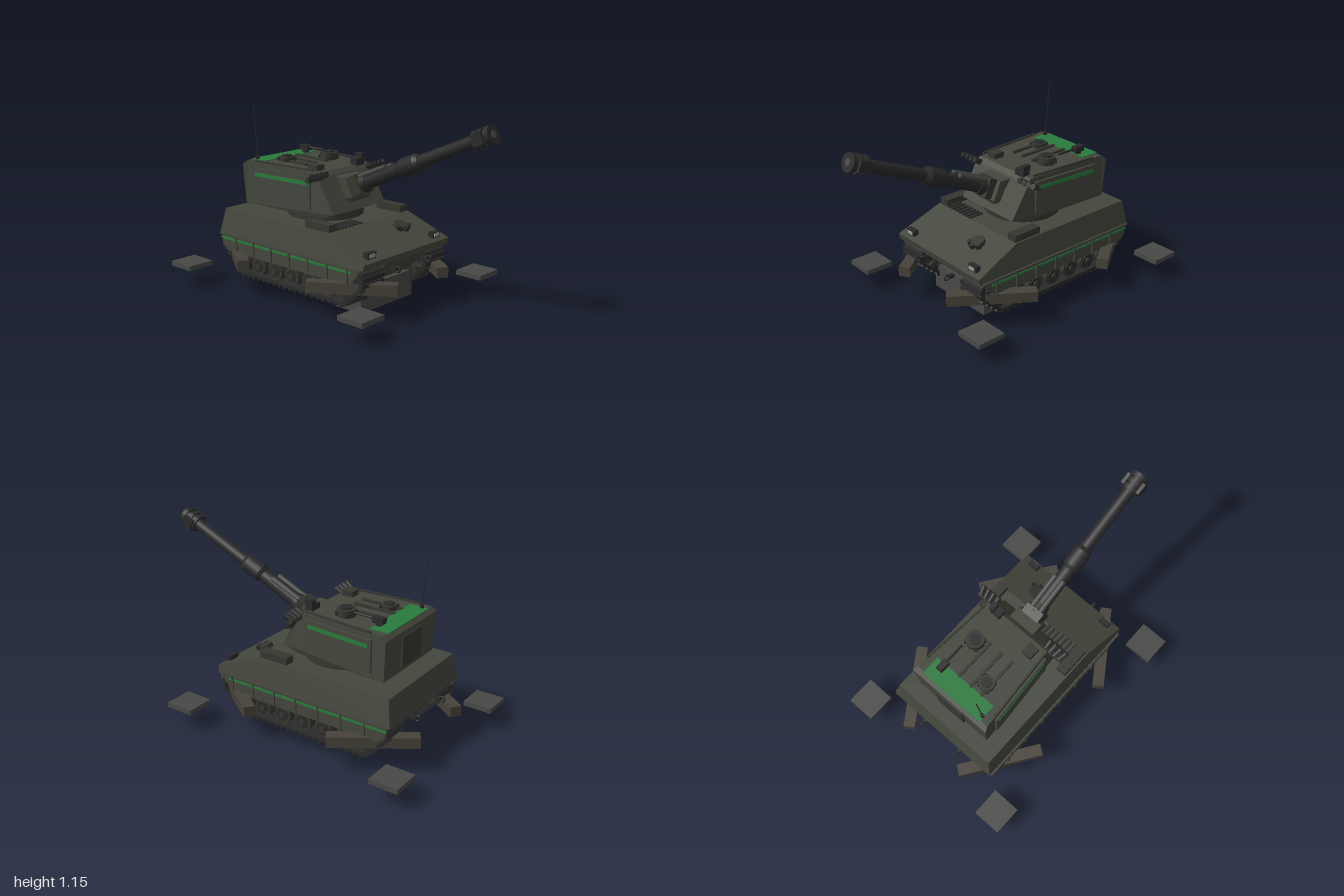
import * as THREE from 'three';

const mat = (color) => new THREE.MeshStandardMaterial({ color });
const M = {
  hull: mat(0x44473d), dark: mat(0x2a2a2b), grey: mat(0x484846), brown: mat(0x47423a),
  green: mat(0x2a7a3c), lamp: mat(0x9a9a92), steel: mat(0x36372f),
};

export function createModel() {
  const root = new THREE.Group();
  const add = (name, geo, m, x = 0, y = 0, z = 0, parent = root) => {
    const mesh = new THREE.Mesh(geo, m);
    mesh.name = name;
    mesh.position.set(x, y, z);
    parent.add(mesh);
    return mesh;
  };
  const box = (name, m, w, h, d, x, y, z, parent) =>
    add(name, new THREE.BoxGeometry(w, h, d), m, x, y, z, parent);
  const cylX = (name, m, r1, r0, len, x, y, z, parent, seg = 16) =>
    add(name, new THREE.CylinderGeometry(r1, r0, len, seg).rotateZ(-Math.PI / 2), m, x, y, z, parent);
  const cylY = (name, m, r, h, x, y, z, parent, seg = 16) =>
    add(name, new THREE.CylinderGeometry(r, r, h, seg), m, x, y, z, parent);
  const cylZ = (name, m, r, len, x, y, z, parent, seg = 16) =>
    add(name, new THREE.CylinderGeometry(r, r, len, seg).rotateX(Math.PI / 2), m, x, y, z, parent);
  // Side profile extruded across z, with the half width given by a rule
  const slab = (name, m, pts, width, parent) => {
    const shape = new THREE.Shape(pts.map(([x, y]) => new THREE.Vector2(x, y)));
    const geo = new THREE.ExtrudeGeometry(shape, { depth: 1, bevelEnabled: false });
    const p = geo.attributes.position;
    for (let i = 0; i < p.count; i++) {
      p.setZ(i, (p.getZ(i) > 0.5 ? 1 : -1) * width(p.getX(i), p.getY(i)));
    }
    geo.computeVertexNormals();
    return add(name, geo, m, 0, 0, 0, parent);
  };
  const sides = [-1, 1];

  // Hull
  slab('upperHull', M.hull, [[-0.8, 0.32], [0.4, 0.32], [0.41, 0.36], [0.11, 0.48], [-0.77, 0.48]],
    (x, y) => 0.385 - (y - 0.32) * 0.18);
  slab('lowerHull', M.hull, [[-0.68, 0.17], [0.24, 0.17], [0.4, 0.32], [-0.79, 0.32]], () => 0.195);
  box('bellyBlade', M.grey, 0.2, 0.16, 0.46, 0.15, 0.08, 0);

  // Running gear and skirts
  const path = [[-0.63, 0.085], [0.24, 0.085], [0.38, 0.21], [0.38, 0.28], [0.32, 0.315], [-0.74, 0.315], [-0.78, 0.24]];
  const v2 = path.map(([x, y]) => new THREE.Vector2(x, y));
  for (const s of sides) {
    const side = new THREE.Group();
    side.name = s > 0 ? 'leftRunningGear' : 'rightRunningGear';
    root.add(side);
    const band = new THREE.Shape(v2);
    band.holes.push(new THREE.Path(v2.map((p) =>
      new THREE.Vector2(-0.2 + (p.x + 0.2) * 0.965, 0.2 + (p.y - 0.2) * 0.86))));
    add('track', new THREE.ExtrudeGeometry(band, { depth: 0.18, bevelEnabled: false }), M.dark,
      0, 0, s * 0.28 - 0.09, side);
    // Cleats along the loop
    v2.forEach((a, i) => {
      const b = v2[(i + 1) % v2.length];
      const n = Math.max(1, Math.round(a.distanceTo(b) / 0.045));
      for (let k = 0; k < n; k++) {
        const p = a.clone().lerp(b, (k + 0.5) / n);
        box('trackCleat', M.dark, 0.024, 0.024, 0.18, p.x, p.y, s * 0.28, side).rotation.z =
          Math.atan2(b.y - a.y, b.x - a.x);
      }
    });
    for (let i = 0; i < 7; i++) {
      const x = -0.63 + i * 0.145;
      cylZ('roadWheel', M.steel, 0.058, 0.14, x, 0.157, s * 0.28, side, 20);
      cylZ('wheelRim', M.dark, 0.04, 0.15, x, 0.157, s * 0.28, side, 20);
      cylZ('wheelHub', M.steel, 0.018, 0.166, x, 0.157, s * 0.28, side, 12);
    }
    for (const x of [-0.71, 0.32]) {
      cylZ('sprocket', M.steel, 0.052, 0.15, x, 0.245, s * 0.28, side, 12);
      cylZ('sprocketHub', M.dark, 0.02, 0.17, x, 0.245, s * 0.28, side, 12);
    }
    const skirt = new THREE.Shape([[-0.78, 0.33], [-0.77, 0.25], [-0.72, 0.22], [0.28, 0.22], [0.35, 0.27], [0.38, 0.33]]
      .map(([x, y]) => new THREE.Vector2(x, y)));
    add('skirt', new THREE.ExtrudeGeometry(skirt, { depth: 0.014, bevelEnabled: false }), M.hull,
      0, 0, s * 0.38 - 0.007, side);
    box('skirtStripe', M.green, 1.1, 0.014, 0.006, -0.23, 0.298, s * 0.388, side);
    for (let i = 0; i < 7; i++) box('skirtRib', M.hull, 0.012, 0.1, 0.012, -0.64 + i * 0.155, 0.27, s * 0.39, side);
    box('fenderLip', M.hull, 1.18, 0.012, 0.03, -0.2, 0.322, s * 0.38, side);
  }

  // Outriggers: diagonal beams and separate ground pads
  for (const s of sides) {
    for (const [x, dir, padX] of [[0.29, 1, 0.52], [-0.675, -1, -0.91]]) {
      box('outriggerBeam', M.brown, 0.52, 0.065, 0.07, x, 0.2, s * 0.35).rotation.y = s * dir * 0.6;
      box('groundPad', M.grey, 0.18, 0.03, 0.18, padX, 0.13, s * 0.53);
    }
    // Tow eyes and lamps
    for (const [x, dir] of [[0.42, 1], [-0.8, -1]]) {
      box('towLug', M.dark, 0.04, 0.02, 0.02, x, 0.29, s * 0.14);
      add('towEye', new THREE.TorusGeometry(0.016, 0.005, 8, 14), M.dark, x + dir * 0.03, 0.29, s * 0.14);
    }
    box('lampHousing', M.dark, 0.035, 0.036, 0.07, 0.37, 0.392, s * 0.29);
    box('lampLens', M.lamp, 0.006, 0.02, 0.045, 0.389, 0.392, s * 0.29);
    box('stowageBox', M.steel, 0.19, 0.045, 0.065, 0.015, 0.5, s * 0.313);
  }

  // Hull deck fittings
  for (let i = 0; i < 7; i++) box('engineGrille', M.dark, 0.1, 0.008, 0.018, 0.06, 0.484, 0.07 + i * 0.033);
  const hatch = new THREE.Group();
  hatch.name = 'driverHatch';
  hatch.position.set(0.22, 0.44, -0.15);
  hatch.rotation.z = -0.38;
  root.add(hatch);
  cylY('hatchLid', M.steel, 0.042, 0.03, 0, 0.008, 0, hatch);
  for (let i = 0; i < 3; i++) {
    const a = (i - 1) * 0.9;
    box('hatchPeriscope', M.dark, 0.018, 0.026, 0.028, 0.05 * Math.cos(a), 0.014, 0.05 * Math.sin(a), hatch).rotation.y = -a;
  }

  // Turret shell
  const turret = new THREE.Group();
  turret.name = 'turret';
  root.add(turret);
  const halfWidth = (x) => 0.277 - 0.07 * (x + 0.68);
  cylY('turretRing', M.steel, 0.235, 0.05, -0.25, 0.5, 0, turret, 32);
  slab('turretShell', M.hull,
    [[-0.68, 0.515], [-0.07, 0.51], [0.03, 0.545], [-0.085, 0.75], [-0.11, 0.775], [-0.66, 0.785], [-0.69, 0.76]],
    (x, y) => halfWidth(x) - (y < 0.52 ? 0.012 : y > 0.77 ? 0.01 : 0), turret);
  for (const s of sides) {
    const panel = new THREE.Group();
    panel.name = 'turretSidePanel';
    panel.position.set(-0.37, 0.65, s * halfWidth(-0.37));
    panel.rotation.y = s * 0.07;
    turret.add(panel);
    box('panelPlate', M.hull, 0.46, 0.2, 0.014, 0, 0, 0, panel);
    box('panelStripe', M.green, 0.42, 0.024, 0.02, 0, 0.06, 0, panel);
    const rail = box('roofRail', M.steel, 0.46, 0.01, 0.012, -0.36, 0.788, s * 0.243, turret);
    rail.rotation.y = s * 0.07;
    // Smoke launchers
    box('launcherBracket', M.steel, 0.03, 0.02, 0.13, -0.09, 0.745, s * 0.255, turret);
    for (let i = 0; i < 4; i++) {
      const tube = cylX('smokeTube', M.dark, 0.017, 0.015, 0.06, -0.07, 0.763, s * (0.2 + i * 0.036), turret, 12);
      tube.rotation.set(0, -s * 0.1 * i, 0.45);
    }
  }
  box('rearDoor', M.steel, 0.014, 0.18, 0.2, -0.69, 0.64, 0, turret);
  box('roofPanel', M.green, 0.12, 0.006, 0.43, -0.61, 0.785, 0, turret);

  // Roof fittings
  for (const z of [-0.05, 0.04, 0.12]) box('roofSlat', M.steel, 0.27, 0.016, 0.018, -0.42, 0.786, z, turret);
  for (const [x, z, r, h] of [[-0.335, -0.12, 0.055, 0.045], [-0.48, 0.1, 0.047, 0.03]]) {
    cylY('cupola', M.steel, r, h, x, 0.78 + h / 2, z, turret, 20);
    cylY('cupolaLid', M.dark, r * 0.65, 0.01, x, 0.783 + h, z, turret, 20);
    for (let i = 0; i < 4; i++) {
      const a = Math.PI / 4 + i * Math.PI / 2;
      box('cupolaBlock', M.dark, 0.018, 0.022, 0.022, x + r * Math.cos(a), 0.795, z + r * Math.sin(a), turret).rotation.y = -a;
    }
  }
  box('gunMount', M.dark, 0.03, 0.04, 0.03, -0.57, 0.8, -0.15, turret);
  box('gunReceiver', M.dark, 0.07, 0.035, 0.04, -0.57, 0.82, -0.15, turret);
  cylX('machineGunBarrel', M.dark, 0.007, 0.008, 0.14, -0.48, 0.823, -0.15, turret, 10);
  box('sightBox', M.steel, 0.075, 0.04, 0.065, -0.175, 0.79, 0.155, turret);
  box('sightBase', M.dark, 0.05, 0.04, 0.07, -0.12, 0.79, -0.145, turret);
  box('sightHead', M.dark, 0.05, 0.03, 0.03, -0.12, 0.825, -0.17, turret);
  cylY('antennaBase', M.dark, 0.012, 0.03, -0.633, 0.795, 0.205, turret, 10);
  cylY('antenna', M.dark, 0.003, 0.33, -0.647, 0.955, 0.205, turret, 6).rotation.z = 0.085;

  // Gun, raised about the trunnion
  slab('mantletBase', M.hull, [[-0.08, 0.6], [0.03, 0.6], [0.05, 0.63], [0.0, 0.74], [-0.08, 0.74]],
    (x, y) => (y < 0.61 ? 0.07 : 0.088), turret);
  const gun = new THREE.Group();
  gun.name = 'gun';
  gun.position.set(0, 0.678, 0);
  gun.rotation.z = 0.415;
  turret.add(gun);
  box('mantlet', M.steel, 0.12, 0.12, 0.12, 0.02, 0, 0, gun);
  cylX('barrelCollar', M.dark, 0.05, 0.062, 0.06, 0.09, 0, 0, gun, 20);
  cylX('barrelSleeve', M.dark, 0.042, 0.045, 0.3, 0.23, 0, 0, gun, 20);
  for (const s of sides) cylX('recoilCylinder', M.grey, 0.015, 0.015, 0.24, 0.18, 0.042, s * 0.03, gun, 12);
  cylX('barrel', M.dark, 0.035, 0.038, 0.6, 0.68, 0, 0, gun, 20);
  cylX('fumeExtractor', M.dark, 0.055, 0.055, 0.11, 0.455, 0, 0, gun, 20);
  cylX('extractorFront', M.dark, 0.04, 0.055, 0.025, 0.522, 0, 0, gun, 20);
  cylX('extractorRear', M.dark, 0.055, 0.042, 0.025, 0.388, 0, 0, gun, 20);
  // Muzzle brake: baffles, side plates and bore
  cylX('brakeCore', M.dark, 0.044, 0.044, 0.1, 0.99, 0, 0, gun, 20);
  for (const x of [0.955, 0.995, 1.04]) cylX('brakeBaffle', M.dark, 0.055, 0.055, 0.028, x, 0, 0, gun, 20);
  for (const s of sides) box('brakePlate', M.dark, 0.07, 0.07, 0.02, 0.985, 0, s * 0.054, gun);
  cylX('bore', M.grey, 0.022, 0.022, 0.004, 1.055, 0, 0, gun, 16);

  return root;
}
